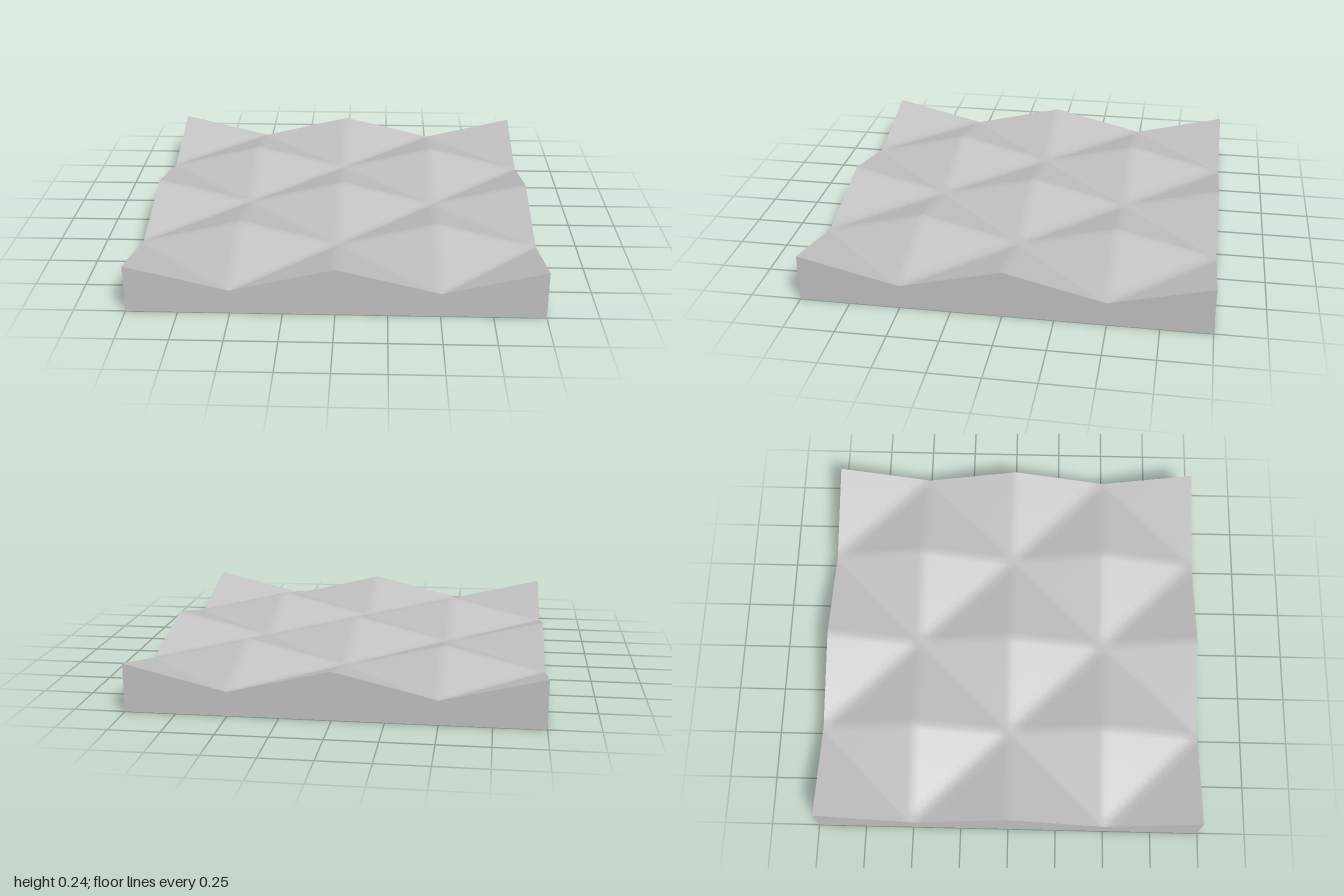
import * as THREE from 'three';

const LOW = 0.12, RISE = 0.12, SEGMENTS = 64;

// Distance to the nearest whole number, 0 to 0.5
const wave = (v) => Math.abs(v - Math.round(v));

// Staggered four-sided pyramids, meeting in diagonal valleys
const height = (x, z) => LOW + RISE * Math.abs(1 - 2 * (wave(x) + wave(z)));

export function createModel() {
  const group = new THREE.Group();
  group.name = 'pyramidTile';
  const grey = new THREE.MeshStandardMaterial({ color: 0xc0c0c0 });
  grey.name = 'light grey';

  const add = (name, geometry) => {
    const mesh = new THREE.Mesh(geometry, grey);
    mesh.name = name;
    group.add(mesh);
    return mesh;
  };

  // Studded top surface, softened slightly along its ridges
  const top = new THREE.PlaneGeometry(2, 2, SEGMENTS, SEGMENTS).rotateX(-Math.PI / 2);
  const p = top.attributes.position;
  for (let i = 0; i < p.count; i++) p.setY(i, height(p.getX(i), p.getZ(i)));
  top.computeVertexNormals();
  add('studdedTop', top);

  // Four side walls with a zigzag upper edge
  const outline = new THREE.Shape();
  outline.moveTo(-1, 0);
  outline.lineTo(1, 0);
  for (let x = 1; x >= -1; x -= 0.5) outline.lineTo(x, height(x, 1));
  outline.closePath();
  const wall = new THREE.ShapeGeometry(outline).translate(0, 0, 1);
  ['frontWall', 'leftWall', 'backWall', 'rightWall'].forEach((name, i) => {
    add(name, wall).rotation.y = i * Math.PI / 2;
  });

  // Flat underside
  add('underside', new THREE.PlaneGeometry(2, 2).rotateX(Math.PI / 2));

  return group;
}
